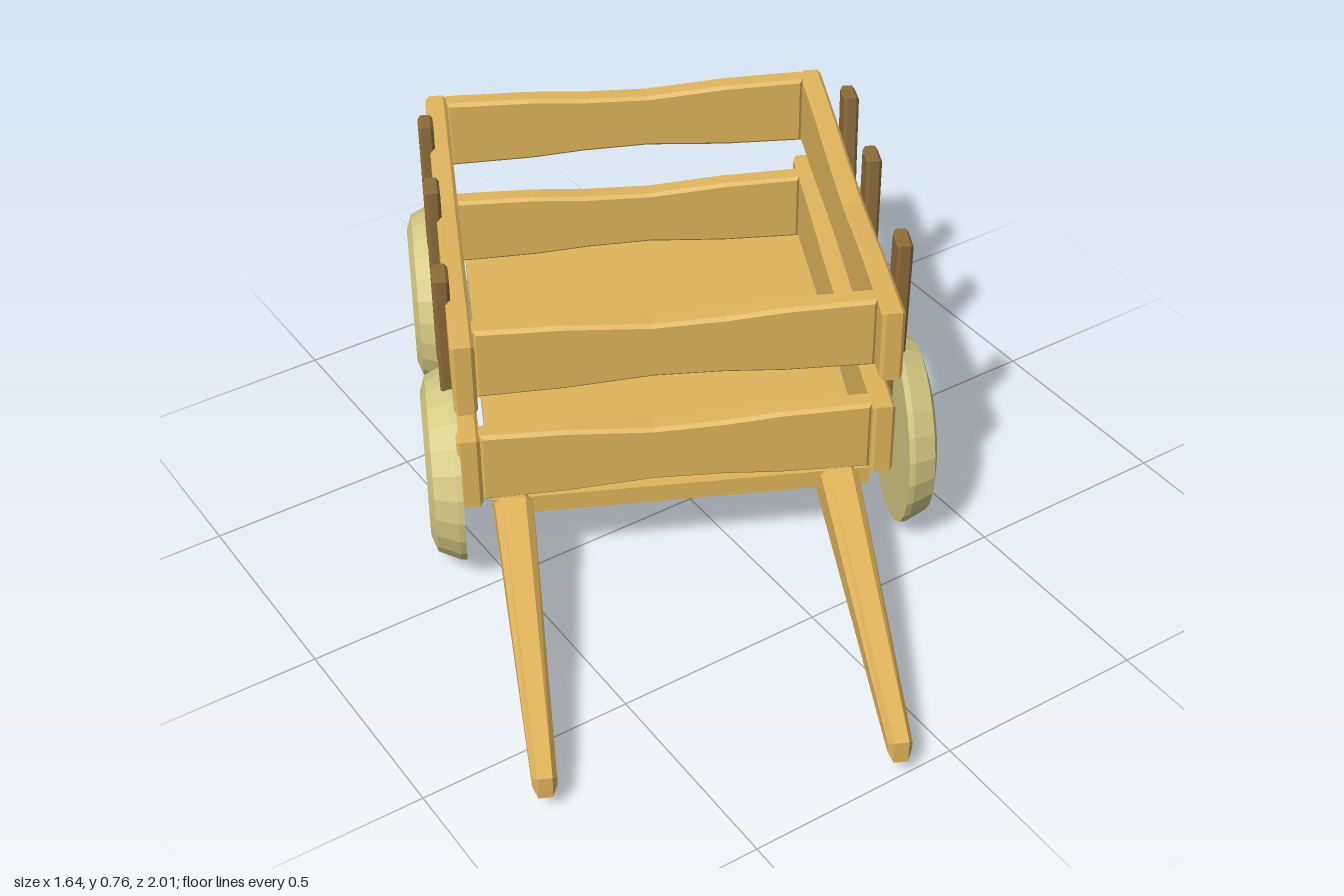
import * as THREE from 'three';

const mat = (color) => new THREE.MeshStandardMaterial({ color, flatShading: true });
const wood = mat(0xe0b45c);
const darkWood = mat(0x8c6c3a);
const tyreMat = mat(0xd2c882);
const discMat = mat(0xcca024);

function add(parent, name, geometry, material, x = 0, y = 0, z = 0) {
  const m = new THREE.Mesh(geometry, material);
  m.name = name;
  m.position.set(x, y, z);
  parent.add(m);
  return m;
}

// Outline extruded through its thickness with chamfered edges, centred on z
function slab(points, thickness, bevel) {
  const shape = new THREE.Shape(points.map(([x, y]) => new THREE.Vector2(x, y)));
  const g = new THREE.ExtrudeGeometry(shape, {
    depth: thickness - 2 * bevel, bevelEnabled: true, bevelSegments: 1,
    bevelSize: bevel, bevelThickness: bevel, bevelOffset: -bevel,
  });
  return g.translate(0, 0, -thickness / 2 + bevel);
}

// Hand-hewn board: slightly narrower towards its middle
function plank(length, height) {
  const wave = [[-0.5, 0], [-0.28, 0.004], [-0.06, 0.018], [0.12, 0.014], [0.27, 0.004], [0.5, 0]];
  const bottom = wave.map(([t, d]) => [t * length, -height / 2 + d]);
  const top = wave.map(([t, d]) => [t * length, height / 2 - d]).reverse();
  return slab([...bottom, ...top], 0.052, 0.008);
}

// Four boards forming one tier of the body; the side boards are offset lengthwise
function tier(name, y, height, sideZ, sideLength) {
  const g = new THREE.Group();
  g.name = name;
  g.position.y = y;
  for (const s of [-1, 1]) {
    add(g, 'sideBoard', plank(sideLength, height), wood, s * 0.467, 0, sideZ).rotation.y = s * Math.PI / 2;
    add(g, 'endBoard', plank(0.885, height * 0.98), wood, 0, 0, s * 0.478).rotation.y = s > 0 ? 0 : Math.PI;
  }
  return g;
}

// Tapering pull shaft running forward and down
function shaft() {
  const z0 = 0.45, z1 = 1.24;
  const g = slab([[z0, 0.138], [z1, 0.044], [z1, 0.1], [z0 + 0.06, 0.245], [z0, 0.235]], 0.09, 0.018);
  g.rotateY(-Math.PI / 2);
  const p = g.attributes.position;
  for (let i = 0; i < p.count; i++) {
    const t = (p.getZ(i) - z0) / (z1 - z0);
    p.setX(i, p.getX(i) * (1 - 0.42 * t));
  }
  g.computeVertexNormals();
  return g;
}

// Wheel turned about the x axis, outer side towards +x
function wheel() {
  const g = new THREE.Group();
  g.name = 'wheel';
  const lathe = (pts) => new THREE.LatheGeometry(pts.map(([r, h]) => new THREE.Vector2(r, h)), 24).rotateZ(-Math.PI / 2);
  add(g, 'tyre', lathe([[0, 0], [0.228, 0], [0.227, 0.014], [0.204, 0.064], [0.165, 0.077], [0.153, 0.077], [0.148, 0.062]]), tyreMat);
  add(g, 'wheelDisc', lathe([[0.15, 0.062], [0.145, 0.067], [0, 0.067]]), discMat);
  return g;
}

export function createModel() {
  const root = new THREE.Group();
  root.name = 'handCart';
  const cart = new THREE.Group();
  cart.name = 'cart';
  root.add(cart);

  // Floor and the two tiers of boards
  add(cart, 'floor', new THREE.BoxGeometry(0.865, 0.046, 1.0), wood, 0.012, 0.212, 0);
  cart.add(tier('lowerBoards', 0.328, 0.185, -0.018, 1.075));
  cart.add(tier('upperBoards', 0.616, 0.18, 0.03, 1.055));

  for (const s of [-1, 1]) {
    add(cart, 'shaft', shaft(), wood, s * 0.373);

    // Uprights: the outer two splay slightly
    for (const [z, tilt] of [[-0.265, -0.05], [-0.005, 0], [0.325, 0.05]]) {
      const post = slab([[-0.034, 0], [0.034, 0], [0.034, 0.48], [-0.034, 0.48]], 0.036, 0.007).rotateY(Math.PI / 2);
      add(cart, 'upright', post, darkWood, s > 0 ? 0.526 : -0.499, 0.28, z).rotation.x = tilt;
    }

    // Wheels, the right-hand pair set closer to the body
    for (const z of s > 0 ? [-0.31, 0.35] : [-0.33, 0.345]) {
      const w = wheel();
      w.position.set(s > 0 ? 0.52 : -0.487, 0.232, z);
      if (s < 0) w.rotation.y = Math.PI;
      cart.add(w);
    }
  }

  // The cart stands turned on the ground
  cart.rotation.y = -0.45;
  cart.position.set(0.071, 0, -0.2805);
  return root;
}
